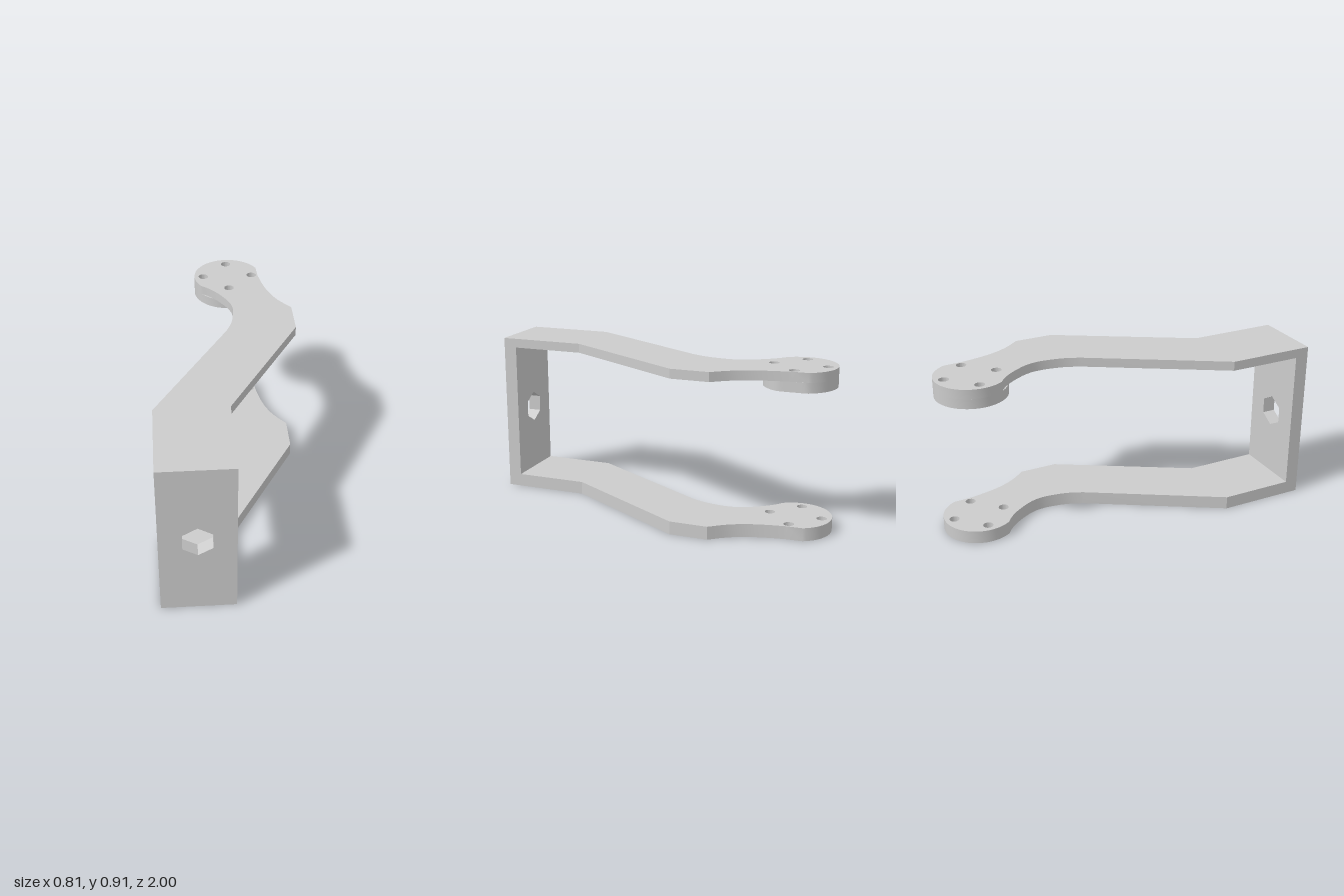
import * as THREE from 'three';
import { toCreasedNormals } from 'three/addons/utils/BufferGeometryUtils.js';

const HEIGHT = 0.907;
const FRONT = 1, PLATE = 0.075;
const LEFT = -0.013, RIGHT = -0.405;
const PAD = { x: 0.062, z: -0.803, r: 0.197, flat: 0.243 };

const material = new THREE.MeshStandardMaterial({ color: 0xcccccc });

function part(name, geometry) {
  const mesh = new THREE.Mesh(toCreasedNormals(geometry, 0.5), material);
  mesh.name = name;
  return mesh;
}

// Extrudes a plan drawn in (x, z) between two heights
function slab(name, shape, bottom, top) {
  const geometry = new THREE.ExtrudeGeometry(shape, { depth: top - bottom, bevelEnabled: false, curveSegments: 16 });
  geometry.rotateX(Math.PI / 2).translate(0, top, 0);
  return part(name, geometry);
}

// Points round the pad, with its outer side trimmed flat
function padArc(from, to, count) {
  return Array.from({ length: count + 1 }, (_, i) => {
    const a = from + (to - from) * i / count;
    return new THREE.Vector2(Math.min(PAD.x + PAD.r * Math.cos(a), PAD.flat), PAD.z + PAD.r * Math.sin(a));
  });
}

// Four screw holes on a bolt circle
function addScrewHoles(shape) {
  for (let i = 0; i < 4; i++) {
    const a = i * Math.PI / 2;
    const hole = new THREE.Path();
    hole.absarc(PAD.x + 0.144 * Math.cos(a), PAD.z + 0.144 * Math.sin(a), 0.028, 0, Math.PI * 2, true);
    shape.holes.push(hole);
  }
  return shape;
}

// Cranked arm plan ending in the round pad
function armShape() {
  const v = (x, z) => new THREE.Vector2(x, z);
  const innerCurve = new THREE.SplineCurve([
    v(0.015, -0.19), v(0.05, -0.28), v(0.067, -0.4), v(0.053, -0.49),
    v(0, -0.587), v(-0.053, -0.652), v(-0.1, -0.69),
  ]).getPoints(18);
  const outerCurve = new THREE.SplineCurve([
    v(0.243, -0.8), v(0.26, -0.7), v(0.288, -0.598), v(0.333, -0.503), v(0.402, -0.413),
  ]).getPoints(12);
  return addScrewHoles(new THREE.Shape([
    v(RIGHT, FRONT - PLATE), v(RIGHT, 0.52),
    ...innerCurve,
    ...padArc(2.57, 5.84, 30),
    ...outerCurve,
    v(0.402, -0.2), v(LEFT, 0.515), v(LEFT, FRONT - PLATE),
  ]));
}

// Upright front plate with a hexagonal opening
function frontPlate() {
  const shape = new THREE.Shape();
  shape.moveTo(RIGHT, 0).lineTo(LEFT, 0).lineTo(LEFT, HEIGHT).lineTo(RIGHT, HEIGHT).closePath();
  shape.holes.push(new THREE.Path(Array.from({ length: 6 }, (_, i) => {
    const a = Math.PI / 2 - i * Math.PI / 3;
    return new THREE.Vector2(-0.208 + 0.089 * Math.cos(a), 0.4535 + 0.089 * Math.sin(a));
  })));
  const geometry = new THREE.ExtrudeGeometry(shape, { depth: PLATE, bevelEnabled: false });
  return part('frontPlate', geometry.translate(0, 0, FRONT - PLATE));
}

export function createModel() {
  const group = new THREE.Group();
  group.name = 'bracket';
  group.add(
    frontPlate(),
    slab('lowerArm', armShape(), 0, 0.073),
    slab('upperArm', armShape(), 0.855, HEIGHT),
    // Thickened boss beneath the upper pad
    slab('upperPadBoss', addScrewHoles(new THREE.Shape(padArc(0, Math.PI * 2, 56).slice(0, -1))), 0.8, 0.855),
  );
  return group;
}
